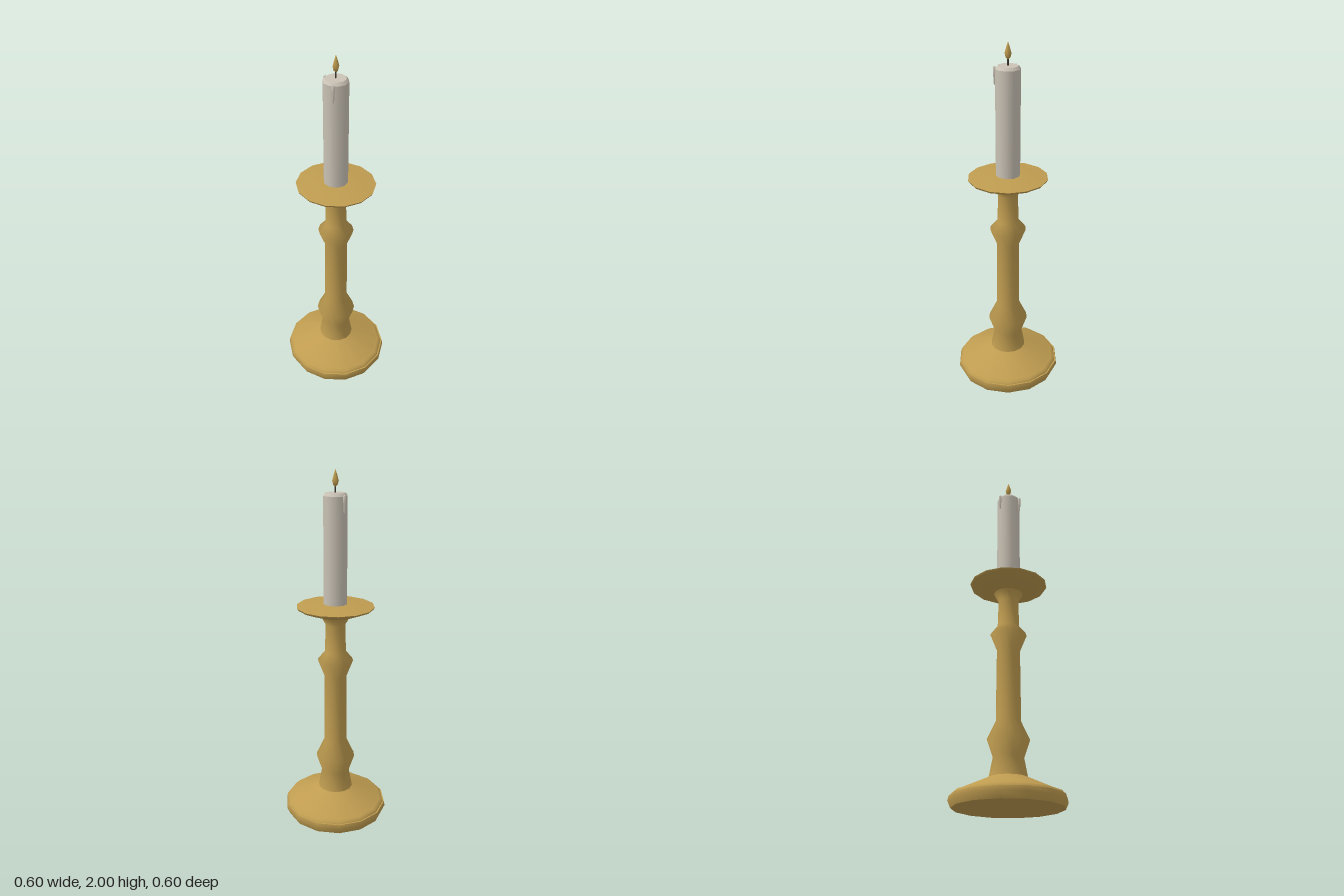
import * as THREE from 'three';

const material = (name, color) => {
  const m = new THREE.MeshStandardMaterial({ color });
  m.name = name;
  return m;
};

export function createModel() {
  const brass = material('brass', 0xbf9c50);
  const wax = material('wax', 0xcac2b5);
  const char = material('charred wick', 0x3a3530);
  const model = new THREE.Group();
  model.name = 'candlestick';

  // Turned part: each profile runs bottom to top; separate profiles meet in a sharp edge.
  function turned(name, mat, sides, profiles) {
    const part = new THREE.Group();
    part.name = name;
    profiles.forEach((profile) => {
      const points = profile.map(([r, y]) => new THREE.Vector2(r, y));
      const mesh = new THREE.Mesh(new THREE.LatheGeometry(points, sides, Math.PI / 2), mat);
      mesh.name = name + 'Surface';
      part.add(mesh);
    });
    model.add(part);
    return part;
  }

  // Foot with a flat underside and a stepped rim
  const foot = turned('foot', brass, 14, [
    [[0, 0], [0.285, 0]],
    [[0.285, 0], [0.3, 0.035], [0.295, 0.06]],
    [[0.295, 0.06], [0.287, 0.06]],
    [[0.287, 0.06], [0.28, 0.075], [0.262, 0.08]],
    [[0.262, 0.08], [0.1, 0.155]],
  ]);

  // Stem with two knops, flaring into the drip pan
  const stem = turned('stem', brass, 14, [
    [[0.1, 0.155], [0.08, 0.26], [0.112, 0.355], [0.066, 0.455],
      [0.063, 0.86], [0.1, 0.955], [0.06, 1.005], [0.055, 1.165], [0.082, 1.213]],
  ]);
  const pan = turned('dripPan', brass, 14, [
    [[0.082, 1.213], [0.15, 1.235], [0.212, 1.26], [0.217, 1.27]],
    [[0.217, 1.27], [0.1, 1.284], [0, 1.284]],
  ]);
  [foot, stem, pan].forEach((part) => { part.scale.z = 1.025; });

  // Candle with a bevelled top
  turned('candle', wax, 10, [
    [[0.067, 1.28], [0.067, 1.865]],
    [[0.067, 1.865], [0.055, 1.88]],
    [[0.055, 1.88], [0, 1.88]],
  ]);

  // Wax drips running down the side
  [[-0.04, 0.057, 0.45], [-0.03, -0.063, 0.6]].forEach(([x, z, turn]) => {
    const drip = turned('waxDrip', wax, 4, [
      [[0, 1.775], [0.006, 1.785], [0.01, 1.84], [0.011, 1.865], [0, 1.878]],
    ]);
    drip.position.set(x, 0, z);
    drip.rotation.y = turn;
  });

  // Wick and flame
  turned('wick', char, 6, [[[0.004, 1.875], [0.004, 1.925]]]);
  turned('flame', brass, 6, [[[0, 1.908], [0.012, 1.92], [0.018, 1.942], [0.01, 1.97], [0, 2]]]);

  return model;
}
